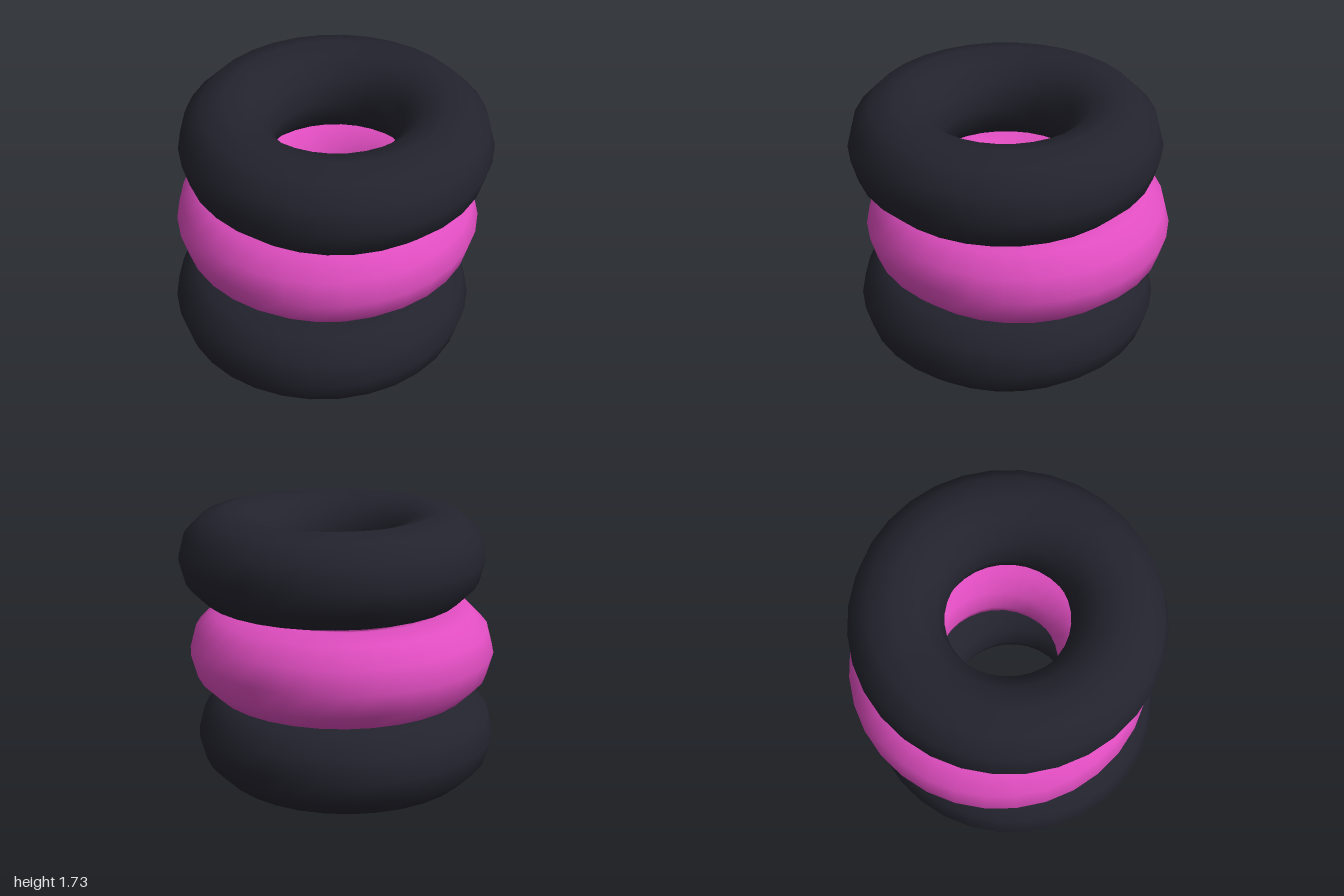
import * as THREE from 'three';

const TUBE = 0.289;          // radius of the ring's cross-section
const RING = 0.955 - TUBE;   // radius of the ring's centre line

export function createModel() {
  const group = new THREE.Group();
  group.name = 'tyreStack';

  const black = new THREE.MeshStandardMaterial({ color: 0x23232e });
  black.name = 'black rubber';
  const pink = new THREE.MeshStandardMaterial({ color: 0xe04dc0 });
  pink.name = 'pink paint';

  // One smooth ring lying flat, shared by all three tyres
  const ring = new THREE.TorusGeometry(RING, TUBE, 12, 32);
  ring.rotateX(-Math.PI / 2);

  // Tyres from the ground up, each slightly off-centre
  const tyres = [
    ['bottomTyre', black, -0.045, 0.036],
    ['middleTyre', pink, 0, -0.036],
    ['topTyre', black, 0.045, 0.036],
  ];
  tyres.forEach(([name, material, x, z], i) => {
    const tyre = new THREE.Mesh(ring, material);
    tyre.name = name;
    tyre.position.set(x, TUBE * (2 * i + 1), z);
    group.add(tyre);
  });

  return group;
}
